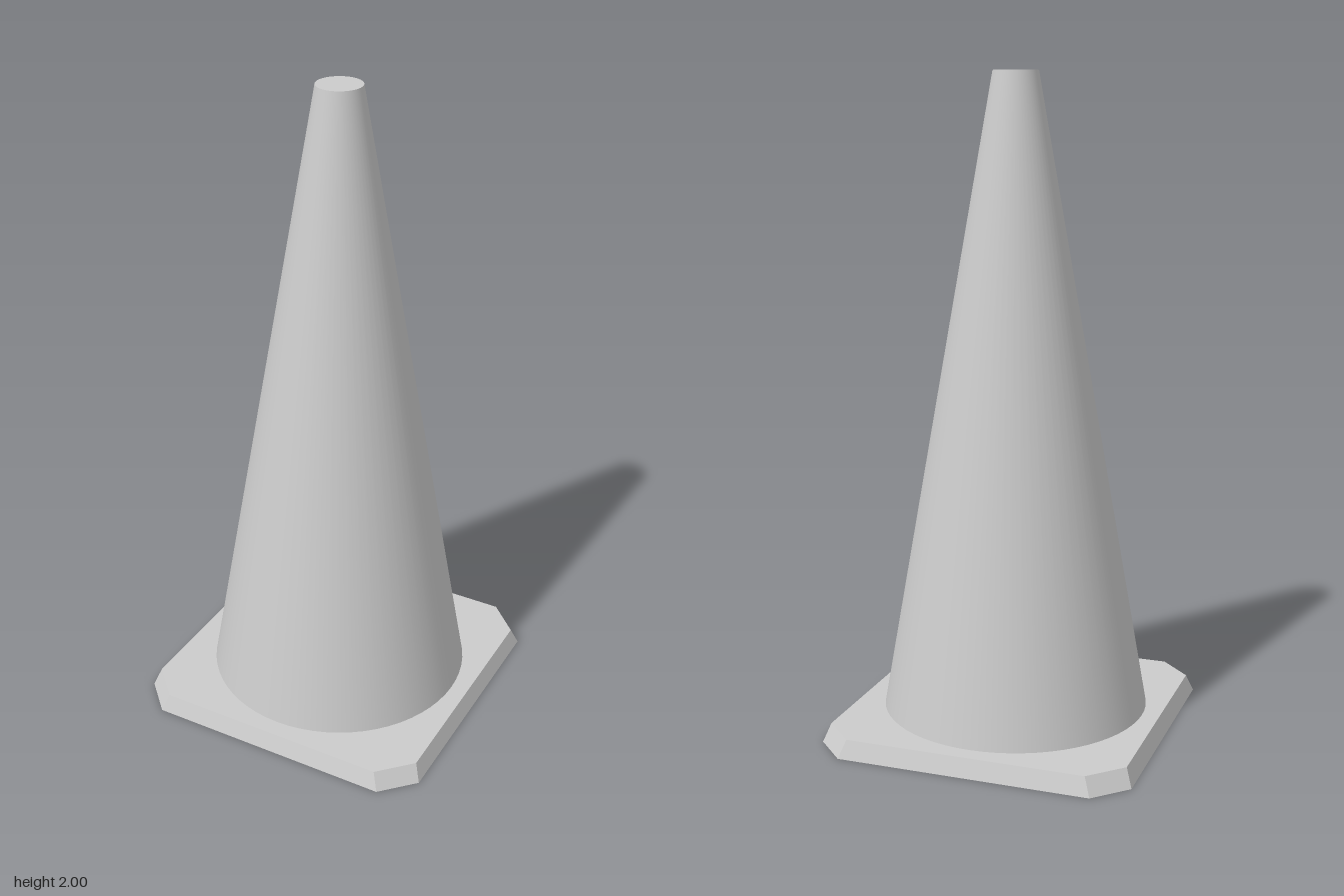
import * as THREE from 'three';

const BASE_HEIGHT = 0.055, TOTAL_HEIGHT = 2;

// Square slab with cut corners and sides leaning inward
function baseGeometry(half, corner, inset) {
  const outline = new THREE.Shape([
    [half, -corner], [half, corner], [corner, half], [-corner, half],
    [-half, corner], [-half, -corner], [-corner, -half], [corner, -half],
  ].map(([x, y]) => new THREE.Vector2(x, y)));
  const geometry = new THREE.ExtrudeGeometry(outline, { depth: BASE_HEIGHT, bevelEnabled: false });
  geometry.rotateX(-Math.PI / 2);
  const p = geometry.attributes.position;
  for (let i = 0; i < p.count; i++) {
    if (p.getY(i) < BASE_HEIGHT / 2) continue;
    p.setX(i, p.getX(i) - Math.sign(p.getX(i)) * inset);
    p.setZ(i, p.getZ(i) - Math.sign(p.getZ(i)) * inset);
  }
  geometry.computeVertexNormals();
  return geometry;
}

export function createModel() {
  const group = new THREE.Group();
  group.name = 'trafficCone';
  const material = new THREE.MeshStandardMaterial({ color: 0xcccccc });

  const base = new THREE.Mesh(baseGeometry(0.485, 0.389, 0.02), material);
  base.name = 'base';

  // Tapered body with a flat closed tip
  const height = TOTAL_HEIGHT - BASE_HEIGHT;
  const cone = new THREE.Mesh(new THREE.CylinderGeometry(0.068, 0.411, height, 64), material);
  cone.name = 'coneBody';
  cone.position.y = BASE_HEIGHT + height / 2;

  group.add(base, cone);
  return group;
}
